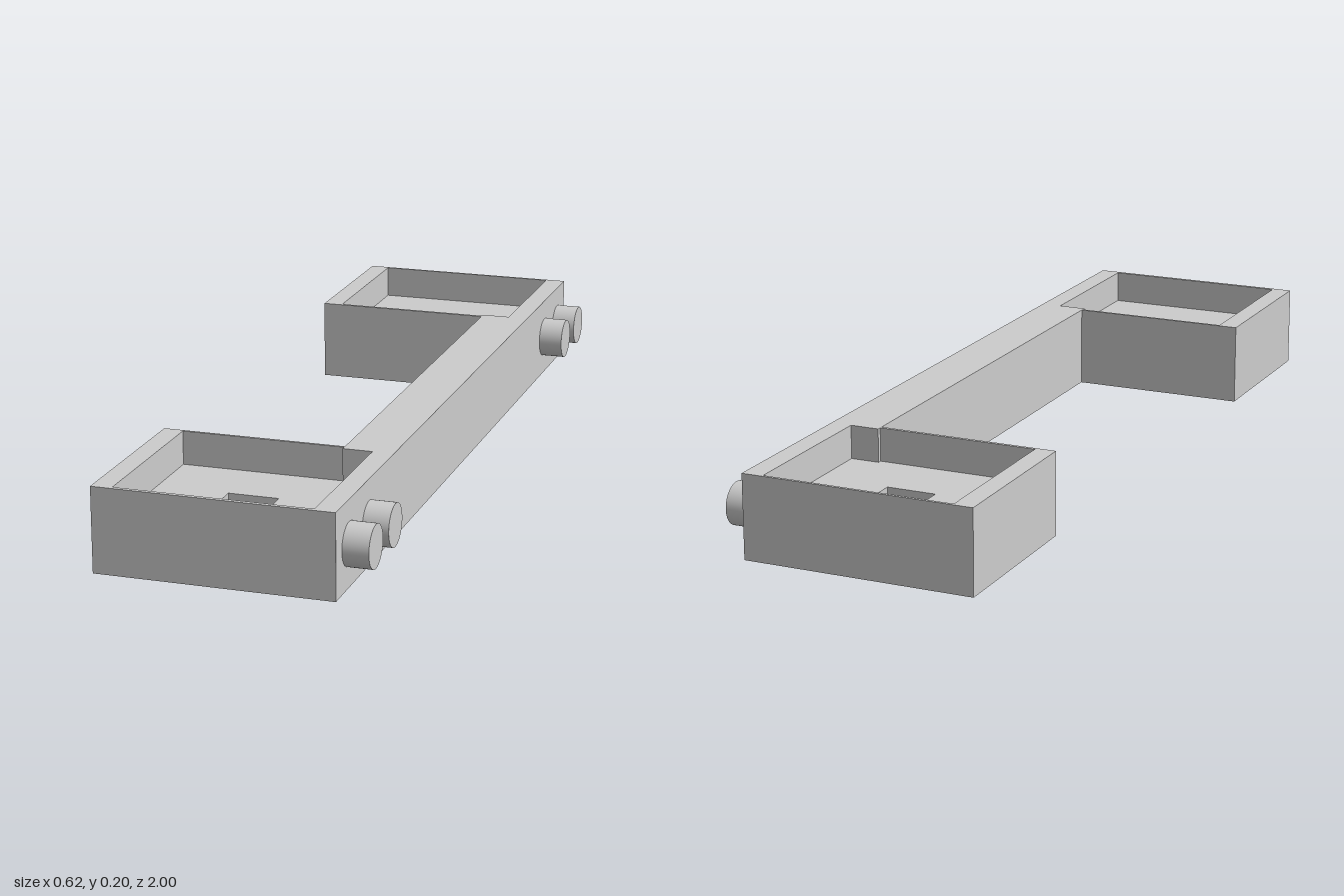
import * as THREE from 'three';

// Plan outlines are given as [x, z] points and extruded upward in y.
const toPoints = (pts) => pts.map(([x, z]) => new THREE.Vector2(x, -z));
const rect = (x0, x1, z0, z1) => [[x0, z0], [x1, z0], [x1, z1], [x0, z1]];

function slab(name, outline, holes, y0, y1, material) {
  const shape = new THREE.Shape(toPoints(outline));
  holes.forEach((h) => shape.holes.push(new THREE.Path(toPoints(h))));
  const geometry = new THREE.ExtrudeGeometry(shape, { depth: y1 - y0, bevelEnabled: false });
  geometry.rotateX(-Math.PI / 2);
  geometry.translate(0, y0, 0);
  const mesh = new THREE.Mesh(geometry, material);
  mesh.name = name;
  return mesh;
}

export function createModel() {
  const group = new THREE.Group();
  group.name = 'bracket';
  const grey = new THREE.MeshStandardMaterial({ color: 0xcccccc });
  grey.name = 'grey';

  // U-shaped plan: a long bar with a tray at each end (counter-clockwise from above)
  const left = -0.308, right = 0.248, bar = 0.128;
  const outline = [
    [left, -0.575], [bar, -0.575], [bar, 0.573], [left, 0.573],
    [left, 1], [right, 1], [right, -1], [left, -1],
  ];

  // Tray pockets, notched where the bar's end juts in
  const p0 = -0.26, p1 = 0.198;
  const pockets = [
    [[p0, -0.993], [p1, -0.993], [p1, -0.593], [bar, -0.593], [bar, -0.583], [p0, -0.583]],
    [[p0, 0.99], [p1, 0.99], [p1, 0.59], [bar, 0.59], [bar, 0.58], [p0, 0.58]],
  ];

  // Small rectangular recess in each tray floor
  const recesses = [rect(-0.091, 0.028, -0.827, -0.742), rect(-0.091, 0.028, 0.737, 0.822)];

  group.add(slab('base', outline, [], 0, 0.08, grey));
  group.add(slab('trayFloors', outline, recesses, 0.08, 0.12, grey));
  group.add(slab('trayWalls', outline, pockets, 0.12, 0.2, grey));

  // Round pegs on the outer side
  const pegGeometry = new THREE.CylinderGeometry(0.05, 0.05, 0.06, 48);
  pegGeometry.rotateZ(-Math.PI / 2);
  for (const z of [-0.922, -0.78, 0.77, 0.91]) {
    const peg = new THREE.Mesh(pegGeometry, grey);
    peg.name = 'peg';
    peg.position.set(0.278, 0.1, z);
    group.add(peg);
  }
  return group;
}
